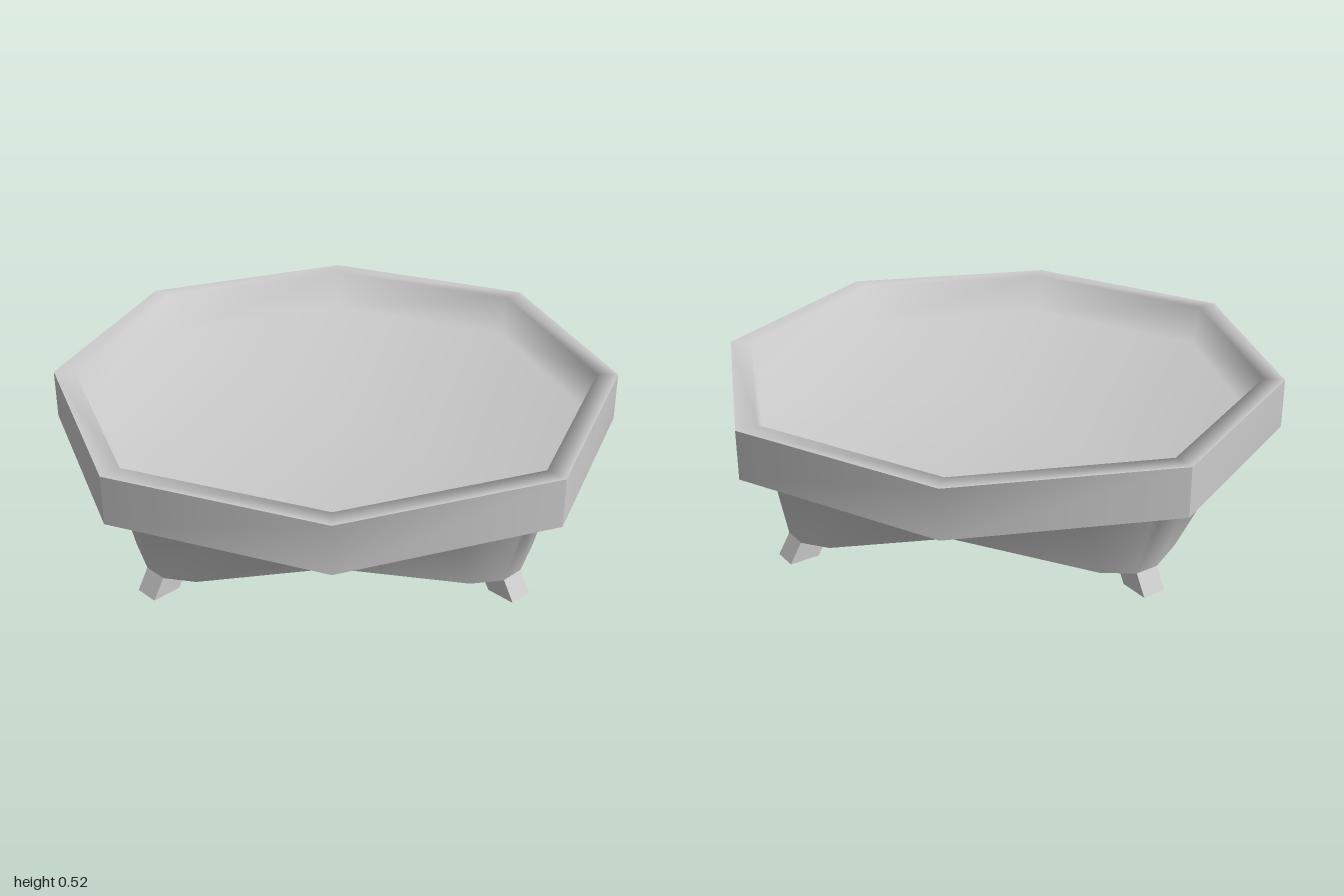
import * as THREE from 'three';
import { mergeVertices, toCreasedNormals } from 'three/addons/utils/BufferGeometryUtils.js';

const material = new THREE.MeshStandardMaterial({ color: 0xcccccc });

// Repeat a quarter outline of [x, y, h] points (h = -z) four times around y.
function quarterRing(points, scale = 1, y = null) {
  const ring = [];
  for (let q = 0; q < 4; q++) {
    for (const p of points) {
      let x = p[0] * scale, h = p[2] * scale;
      for (let k = 0; k < q; k++) [x, h] = [-h, x];
      ring.push(new THREE.Vector3(x, y ?? p[1], -h));
    }
  }
  return ring;
}

// Skin a list of equal rings; a ring collapsed to a point makes a cap.
function loft(rings) {
  const pos = [];
  const tri = (a, b, c) => {
    if (a.equals(b) || b.equals(c) || a.equals(c)) return;
    for (const v of [a, b, c]) pos.push(v.x, v.y, v.z);
  };
  for (let i = 0; i < rings.length - 1; i++) {
    const lo = rings[i], up = rings[i + 1], n = lo.length;
    for (let j = 0; j < n; j++) {
      const k = (j + 1) % n;
      tri(lo[j], lo[k], up[k]);
      tri(lo[j], up[k], up[j]);
    }
  }
  const g = new THREE.BufferGeometry();
  g.setAttribute('position', new THREE.Float32BufferAttribute(pos, 3));
  return g;
}

// Share vertices so that the shading runs smoothly over every edge.
function smooth(geometry) {
  const g = mergeVertices(geometry);
  g.computeVertexNormals();
  return g;
}

function addMesh(group, name, geometry) {
  const mesh = new THREE.Mesh(geometry, material);
  mesh.name = name;
  group.add(mesh);
  return mesh;
}

export function createModel() {
  const group = new THREE.Group();
  group.name = 'octagonalTable';

  // Octagonal band, creased only at its four diagonal corners
  const octagon = [[1, 0, 0], [0.725, 0, 0.725]];
  const oct = (s, y) => quarterRing(octagon, s, y);
  addMesh(group, 'topBand', toCreasedNormals(loft([oct(1, 0.345), oct(1, 0.52)]), 0.78));

  // Flat rim, steep inner wall and the deep sunken floor
  addMesh(group, 'topTray', smooth(loft(
    [oct(1, 0.52), oct(0.925, 0.52), oct(0.9, 0.375), oct(0, 0.375)])));

  // Ledge and arched apron: high at the axis corners, low at the diagonal feet
  const ledge = [
    [1, 0.345, 0], [0.863, 0.345, 0.363], [0.725, 0.345, 0.725],
    [0.725, 0.345, 0.725], [0.363, 0.345, 0.863],
  ];
  const upper = [
    [0.89, 0.345, 0], [0.74, 0.345, 0.4], [0.655, 0.345, 0.62],
    [0.62, 0.345, 0.655], [0.4, 0.345, 0.74],
  ];
  const lower = [
    [0.87, 0.28, 0], [0.675, 0.09, 0.45], [0.625, 0.07, 0.565],
    [0.565, 0.07, 0.625], [0.45, 0.09, 0.675],
  ];
  // From the hollow's ceiling, down its wall, around the lip and up to the band
  addMesh(group, 'apron', smooth(loft([
    quarterRing(upper, 0, 0.34),
    quarterRing(upper, 0.94, 0.34),
    quarterRing(lower, 0.96),
    quarterRing(lower),
    quarterRing(upper),
    quarterRing(ledge),
  ])));

  // Four short feet splayed outward along the diagonals
  const footHeight = 0.09;
  for (let i = 0; i < 4; i++) {
    const g = new THREE.BoxGeometry(0.106, footHeight, 0.085);
    g.translate(0, footHeight / 2, 0);
    const p = g.attributes.position;
    for (let v = 0; v < p.count; v++) {
      p.setX(v, p.getX(v) + 0.831 - 0.6 * p.getY(v));
    }
    g.computeVertexNormals();
    addMesh(group, 'foot' + (i + 1), g).rotation.y = Math.PI / 4 + i * Math.PI / 2;
  }
  return group;
}
